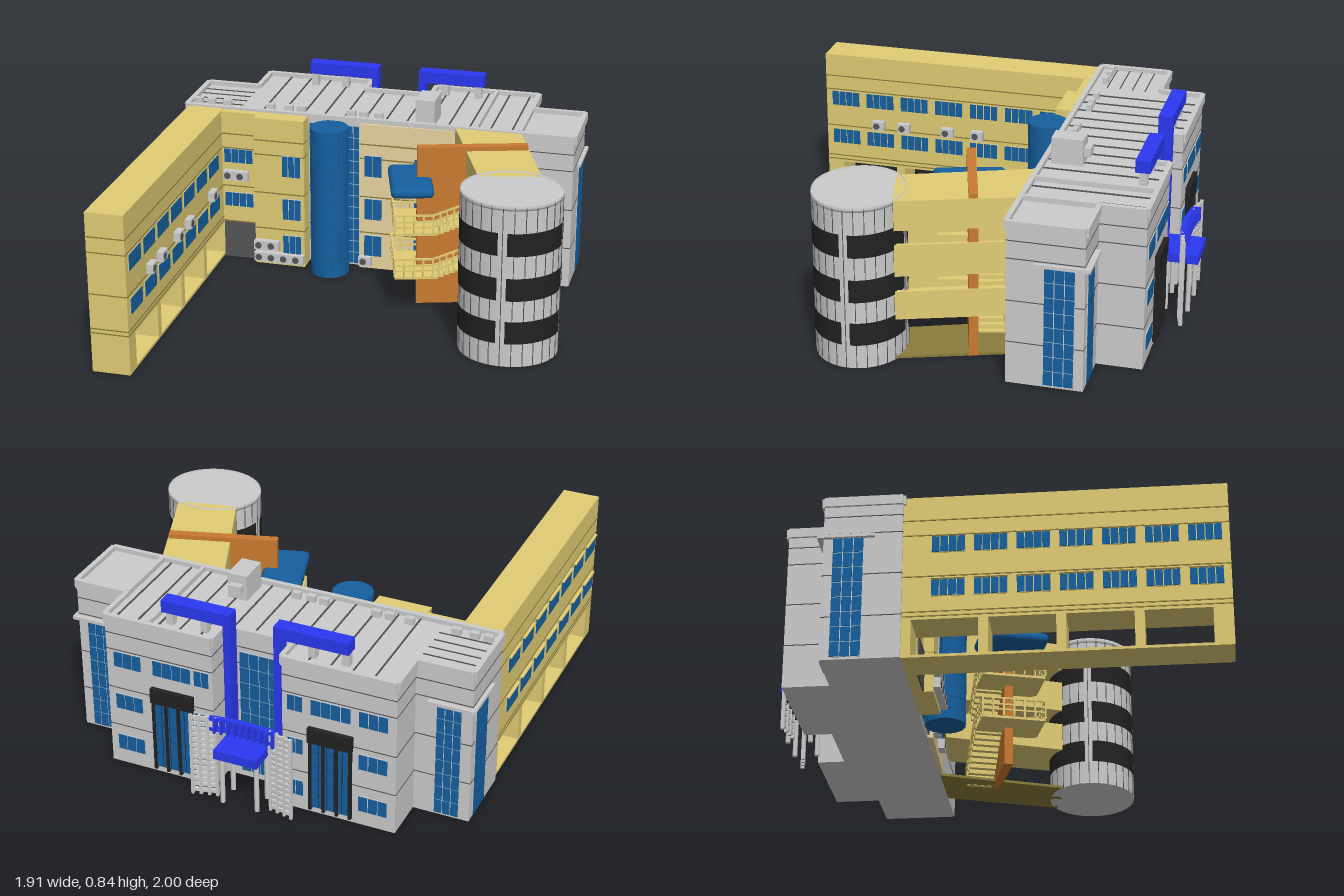
import * as THREE from 'three';
import { RoundedBoxGeometry } from 'three/addons/geometries/RoundedBoxGeometry.js';

const mat = (color) => new THREE.MeshStandardMaterial({ color, side: THREE.DoubleSide });
const GREY = mat(0xcccccc), YELLOW = mat(0xe0cc74), CREAM = mat(0xe8d2a0), GLASS = mat(0x155f9f),
  BLUE = mat(0x2a38f0), BROWN = mat(0xc87a30), DARK = mat(0x222222), CHARCOAL = mat(0x555555), OLIVE = mat(0x8a7c3c);

function add(parent, name, geo, material, x = 0, y = 0, z = 0, ry = 0) {
  const m = new THREE.Mesh(geo, material);
  m.name = name; m.position.set(x, y, z); m.rotation.y = ry;
  parent.add(m);
  return m;
}
function group(parent, name, x = 0, y = 0, z = 0, ry = 0) {
  const g = new THREE.Group();
  g.name = name; g.position.set(x, y, z); g.rotation.y = ry;
  parent.add(g);
  return g;
}
// Box given by its limits
const box = (p, name, m, x0, x1, y0, y1, z0, z1) =>
  add(p, name, new THREE.BoxGeometry(x1 - x0, y1 - y0, z1 - z0), m, (x0 + x1) / 2, (y0 + y1) / 2, (z0 + z1) / 2);
// Floor plan [x, z] raised from y0 to y1
function slab(p, name, m, pts, y0, y1) {
  const shape = new THREE.Shape(pts.map(([x, z]) => new THREE.Vector2(x, -z)));
  const geo = new THREE.ExtrudeGeometry(shape, { depth: y1 - y0, bevelEnabled: false }).rotateX(-Math.PI / 2);
  return add(p, name, geo, m, 0, y0, 0);
}
// Upright wall between two plan points
function wall(p, name, m, [xa, za], [xb, zb], y0, y1, t) {
  const len = Math.hypot(xb - xa, zb - za);
  return add(p, name, new THREE.BoxGeometry(len, y1 - y0, t), m, (xa + xb) / 2, (y0 + y1) / 2, (za + zb) / 2, -Math.atan2(zb - za, xb - xa));
}
// Framed window of nx by ny panes; x, z is its centre on the wall, y its sill
function windowUnit(p, x, y, z, w, h, nx, ny, ry = 0, frame = GREY) {
  const g = group(p, 'window', x, y, z, ry), pw = w / nx, ph = h / ny;
  box(g, 'windowFrame', frame, -w / 2, w / 2, 0, h, -0.004, 0.003);
  for (let i = 0; i < nx; i++) for (let j = 0; j < ny; j++)
    box(g, 'pane', GLASS, -w / 2 + i * pw + 0.002, -w / 2 + (i + 1) * pw - 0.002, j * ph + 0.002, (j + 1) * ph - 0.002, 0, 0.006);
}
function airUnit(p, x, y, z, ry = 0) {
  const g = group(p, 'airConditioner', x, y, z, ry);
  box(g, 'airUnitCase', GREY, -0.03, 0.03, 0, 0.045, 0, 0.03);
  add(g, 'fan', new THREE.CylinderGeometry(0.016, 0.016, 0.003, 14).rotateX(Math.PI / 2), CHARCOAL, -0.008, 0.022, 0.031);
}
// Railing in a plane of constant z, sloping from (x0, y0) to (x1, y1)
function railing(p, x0, y0, x1, y1, z, n = 6) {
  const len = Math.hypot(x1 - x0, y1 - y0);
  for (const h of [0.03, 0.055, 0.085])
    add(p, 'rail', new THREE.BoxGeometry(len, 0.008, 0.008), YELLOW, (x0 + x1) / 2, (y0 + y1) / 2 + h, z).rotation.z = Math.atan2(y1 - y0, x1 - x0);
  for (let i = 0; i <= n; i++) {
    const x = x0 + (x1 - x0) * i / n, y = y0 + (y1 - y0) * i / n;
    box(p, 'railPost', YELLOW, x - 0.004, x + 0.004, y, y + 0.085, z - 0.004, z + 0.004);
  }
}

function mainBlock(root) {
  const g = group(root, 'mainBlock');
  const plan = [[-0.94, -0.34], [-0.94, -0.67], [-0.69, -0.67], [-0.69, -0.87], [-0.18, -0.87], [-0.18, -0.75],
    [0.14, -0.75], [0.14, -0.87], [0.64, -0.87], [0.64, -0.67], [0.89, -0.67], [0.89, -0.34]];
  slab(g, 'mainWalls', GREY, plan, 0, 0.722);
  plan.forEach((a, i) => {
    const b = plan[(i + 1) % plan.length];
    wall(g, 'parapet', GREY, a, b, 0.70, 0.742, 0.022);
    for (const y of [0.19, 0.38, 0.57, 0.65]) wall(g, 'wallSeam', CHARCOAL, a, b, y, y + 0.004, 0.003);
  });
  // Roof seams and small roof items
  for (let i = 0; i < 13; i++) {
    const x = -0.58 + i * 0.098;
    const back = x > -0.19 && x < 0.15 ? -0.75 : -0.86;
    box(g, 'roofSeam', CHARCOAL, x - 0.003, x + 0.003, 0.72, 0.727, back, -0.35);
  }
  for (let i = 0; i < 4; i++) box(g, 'roofSeam', CHARCOAL, -0.93, -0.69, 0.72, 0.726, -0.6 + i * 0.06, -0.596 + i * 0.06);
  box(g, 'roofRidge', GREY, 0.43, 0.445, 0.72, 0.745, -0.86, -0.35);
  box(g, 'roofRidge', GREY, 0.63, 0.65, 0.72, 0.745, -0.67, -0.35);
  for (const x of [-0.9, -0.84, -0.76, -0.55, -0.46, -0.4, -0.16, -0.1, -0.03])
    box(g, 'roofVent', GREY, x - 0.02, x + 0.02, 0.72, 0.752, -0.41, -0.385);
  box(g, 'roofPlant', GREY, 0.15, 0.24, 0.72, 0.84, -0.51, -0.37);
  box(g, 'roofPlantDuct', GREY, 0.165, 0.225, 0.76, 0.8, -0.54, -0.51);

  // Rear windows and tall framed bays
  for (const [cx, outer, inner] of [[-0.4, -0.59, -0.24], [0.33, 0.54, 0.19]]) {
    for (const y of [0.07, 0.28, 0.49]) {
      windowUnit(g, outer, y, -0.871, 0.13, 0.075, 3, 1, Math.PI);
      windowUnit(g, inner, y, -0.871, 0.07, 0.075, 2, 1, Math.PI);
    }
    windowUnit(g, cx, 0.49, -0.871, 0.18, 0.075, 4, 1, Math.PI);
    windowUnit(g, cx, 0.03, -0.874, 0.18, 0.35, 5, 5, Math.PI, DARK);
    box(g, 'bayHood', DARK, cx - 0.1, cx + 0.1, 0.36, 0.43, -0.892, -0.87);
    for (const s of [-0.09, -0.03, 0.03, 0.09]) box(g, 'bayPost', DARK, cx + s - 0.006, cx + s + 0.006, 0.02, 0.37, -0.888, -0.87);
  }
  windowUnit(g, -0.02, 0.03, -0.751, 0.18, 0.6, 4, 8, Math.PI);

  // Corner glazing with ledges on both end blocks
  for (const [xe, s] of [[0.89, 1], [-0.94, -1]]) {
    windowUnit(g, xe, 0.01, -0.565, 0.13, 0.54, 3, 8, s * Math.PI / 2);
    windowUnit(g, xe - s * 0.1, 0.01, -0.671, 0.11, 0.54, 3, 8, Math.PI);
    wall(g, 'cornerLedge', GREY, [xe, -0.455], [xe, -0.69], 0.55, 0.565, 0.034);
    wall(g, 'cornerLedge', GREY, [xe - s * 0.19, -0.68], [xe + s * 0.015, -0.68], 0.55, 0.565, 0.03);
  }
}

function frontFacade(root) {
  const g = group(root, 'frontFacade');
  box(g, 'leftBay', YELLOW, -0.76, -0.59, 0, 0.73, -0.34, -0.295);
  box(g, 'projectingBay', YELLOW, -0.59, -0.35, 0, 0.73, -0.34, -0.25);
  slab(g, 'creamWall', CREAM, [[-0.1, -0.34], [-0.1, -0.315], [0.33, -0.325], [0.36, -0.34]], 0, 0.72);
  box(g, 'serviceDoor', CHARCOAL, -0.755, -0.595, 0, 0.18, -0.295, -0.288);
  windowUnit(g, -0.225, 0.01, -0.336, 0.24, 0.69, 8, 12);
  for (const y of [0.18, 0.36, 0.55, 0.62]) {
    box(g, 'facadeSeam', OLIVE, -0.76, -0.59, y, y + 0.005, -0.296, -0.292);
    box(g, 'facadeSeam', OLIVE, -0.59, -0.348, y, y + 0.005, -0.3, -0.247);
    box(g, 'facadeSeam', OLIVE, -0.1, 0.33, y, y + 0.005, -0.33, -0.313);
  }
  for (const y of [0.26, 0.48]) windowUnit(g, -0.68, y, -0.294, 0.14, 0.07, 4, 1);
  for (const y of [0.05, 0.235, 0.45]) {
    windowUnit(g, -0.41, y, -0.249, 0.09, 0.105, 3, 1);
    windowUnit(g, -0.035, y + 0.015, -0.313, 0.085, 0.105, 2, 1);
    windowUnit(g, 0.2, y + 0.015, -0.32, 0.085, 0.105, 2, 1);
  }
  for (let i = 0; i < 4; i++) airUnit(g, -0.56 + i * 0.06, 0.02, -0.25);
  for (const x of [-0.56, -0.5]) airUnit(g, x, 0.08, -0.25);
  for (const x of [-0.72, -0.66]) airUnit(g, x, 0.4, -0.295);
  for (const x of [-0.07, 0.1]) airUnit(g, x, 0.02, -0.316);

  // Round glass stair tower
  const t = group(g, 'glassTower', -0.225, 0, -0.245);
  add(t, 'glassDrum', new THREE.CylinderGeometry(0.088, 0.088, 0.72, 32), GLASS, 0, 0.36, 0);
  for (let i = 0; i < 13; i++) add(t, 'glassRing', new THREE.TorusGeometry(0.088, 0.0015, 4, 32).rotateX(Math.PI / 2), GLASS, 0, 0.05 + i * 0.055, 0);
  for (let i = 0; i < 16; i++) {
    const a = i * Math.PI / 8;
    add(t, 'glassMullion', new THREE.BoxGeometry(0.003, 0.72, 0.003), GLASS, 0.088 * Math.sin(a), 0.36, 0.088 * Math.cos(a), a);
  }
}

function longWing(root) {
  const g = group(root, 'longWing');
  box(g, 'wingUpper', YELLOW, -0.93, -0.76, 0.168, 0.732, -0.34, 1);
  box(g, 'wingFloor', YELLOW, -0.93, -0.76, 0, 0.012, -0.34, 1);
  const piers = [[0.92, 1], [0.605, 0.645], [0.29, 0.33], [-0.025, 0.015], [-0.34, -0.3]];
  for (const [z0, z1] of piers) box(g, 'wingPier', YELLOW, -0.93, -0.76, 0.012, 0.168, z0, z1);
  for (const y of [0.18, 0.2, 0.36, 0.55, 0.62]) box(g, 'wingSeam', OLIVE, -0.932, -0.758, y, y + 0.005, -0.34, 1.0015);
  for (let i = 0; i < 7; i++) for (const y of [0.27, 0.47]) {
    const z = 0.9 - i * 0.175;
    windowUnit(g, -0.759, y, z, 0.14, 0.075, 4, 1, Math.PI / 2, YELLOW);
    windowUnit(g, -0.931, y, z, 0.14, 0.075, 4, 1, -Math.PI / 2, YELLOW);
    box(g, 'windowHood', YELLOW, -0.945, -0.93, y + 0.076, y + 0.082, z - 0.07, z + 0.07);
  }
  for (const z of [0.73, 0.6, 0.38, 0.23, -0.1]) airUnit(g, -0.76, 0.365, z, Math.PI / 2);
}

function bridgeAndTower(root) {
  const g = group(root, 'bridge');
  const a = [0.35, -0.34], b = [0.57, 0.22], c = [0.82, 0.16], d = [0.64, -0.34];
  slab(g, 'bridgeGround', OLIVE, [a, b, c, d], 0, 0.012);
  for (const [y0, y1] of [[0.19, 0.32], [0.39, 0.535], [0.6, 0.735]]) {
    slab(g, 'bridgeDeck', YELLOW, [a, b, c, d], y0, y0 + 0.015);
    wall(g, 'bridgeParapet', YELLOW, a, b, y0, y1, 0.016);
    wall(g, 'bridgeParapet', YELLOW, c, d, y0, y1, 0.016);
  }
  slab(g, 'bridgeRoof', YELLOW, [a, b, c, d], 0.72, 0.735);

  // Oval tower: unit-radius parts stretched to an ellipse
  const t = group(root, 'roundTower', 0.73, 0, 0.333);
  t.scale.set(0.219, 1, 0.197);
  add(t, 'towerDrum', new THREE.CylinderGeometry(1, 1, 0.735, 48), GREY, 0, 0.3675, 0);
  for (let i = 0; i < 28; i++) {
    const th = i * Math.PI / 14;
    add(t, 'towerSeam', new THREE.BoxGeometry(0.016, 0.735, 0.016), CHARCOAL, Math.sin(th), 0.3675, Math.cos(th), th);
  }
  for (const y of [0.16, 0.36, 0.565]) for (let q = 0; q < 4; q++)
    add(t, 'towerWindowBand', new THREE.CylinderGeometry(1.012, 1.012, 0.104, 14, 1, true, q * Math.PI / 2 + 0.09, Math.PI / 2 - 0.18), DARK, 0, y, 0);
  add(t, 'towerRim', new THREE.TorusGeometry(1, 0.012, 4, 48).rotateX(Math.PI / 2), GREY, 0, 0.73, 0);
}

function outdoorStair(root) {
  const g = group(root, 'outdoorStair', 0.475, 0, -0.085, 0.29);
  box(g, 'stairWall', BROWN, -0.245, 0.245, 0, 0.755, -0.02, 0.02);
  add(g, 'stairCanopy', new RoundedBoxGeometry(0.19, 0.05, 0.32, 4, 0.024), GLASS, -0.273, 0.592, 0.007);
  for (const y of [0.19, 0.4]) {
    box(g, 'landing', YELLOW, -0.35, -0.18, y - 0.012, y, -0.14, 0.15);
    railing(g, -0.35, y, -0.18, y, 0.15, 4);
    railing(g, -0.35, y, -0.18, y, -0.14, 4);
    const side = group(g, 'landingEndRail', -0.35, 0, 0, Math.PI / 2);
    railing(side, -0.15, y, 0.14, y, 0, 6);
    for (let i = 0; i < 10; i++) {
      const x = -0.18 + i * 0.024;
      box(g, 'upperStep', YELLOW, x, x + 0.024, y + i * 0.009 - 0.012, y + i * 0.009, 0.02, 0.15);
      box(g, 'lowerStep', YELLOW, x, x + 0.024, y - i * 0.019 - 0.02, y - i * 0.019, -0.14, -0.02);
    }
    railing(g, -0.18, y, 0.06, y + 0.09, 0.15, 8);
    railing(g, -0.18, y, 0.06, y - 0.18, -0.14, 8);
  }
}

function rearEntrance(root) {
  const g = group(root, 'rearEntrance');
  // Blue roof beams that turn down into the recess
  for (const [x0, x1, leg, posts] of [[-0.46, -0.125, -0.14, [-0.44, -0.29]], [0.075, 0.39, 0.09, [0.2, 0.36]]]) {
    box(g, 'roofBeam', BLUE, x0, x1, 0.785, 0.84, -0.83, -0.765);
    box(g, 'beamLeg', BLUE, leg - 0.015, leg + 0.015, 0.24, 0.8, -0.83, -0.765);
    for (const x of posts) box(g, 'beamPost', GREY, x - 0.016, x + 0.016, 0.72, 0.785, -0.815, -0.78);
  }
  box(g, 'entranceCanopy', BLUE, -0.12, 0.08, 0.24, 0.282, -1, -0.75);
  for (const x of [-0.1, 0.06]) for (const z of [-0.96, -0.86])
    add(g, 'canopyColumn', new THREE.CylinderGeometry(0.011, 0.011, 0.24, 12), GREY, x, 0.12, z);
  // Curved screen: slatted sides joined by a blue lattice
  const at = (x) => [x, -1.726 + Math.sqrt(0.806 ** 2 - (x + 0.025) ** 2)];
  for (const s of [-1, 1]) {
    for (let i = 0; i < 4; i++) {
      const [x, z] = at(-0.025 + s * (0.125 + i * 0.035));
      box(g, 'screenPost', GREY, x - 0.006, x + 0.006, 0, 0.4, z - 0.008, z + 0.008);
    }
    for (let j = 0; j < 14; j++)
      wall(g, 'screenSlat', GREY, at(-0.025 + s * 0.12), at(-0.025 + s * 0.235), 0.015 + j * 0.028, 0.031 + j * 0.028, 0.012);
  }
  for (let i = 0; i < 10; i++) {
    const p = at(-0.175 + i * 0.03), q = at(-0.145 + i * 0.03);
    wall(g, 'latticeChord', BLUE, p, q, 0.385, 0.4, 0.02);
    wall(g, 'latticeChord', BLUE, p, q, 0.335, 0.35, 0.02);
    box(g, 'latticeBar', BLUE, p[0] - 0.004, p[0] + 0.004, 0.335, 0.4, p[1] - 0.03, p[1] + 0.005);
  }
}

export function createModel() {
  const root = new THREE.Group();
  root.name = 'officeComplex';
  [mainBlock, frontFacade, longWing, bridgeAndTower, outdoorStair, rearEntrance].forEach((build) => build(root));
  return root;
}
